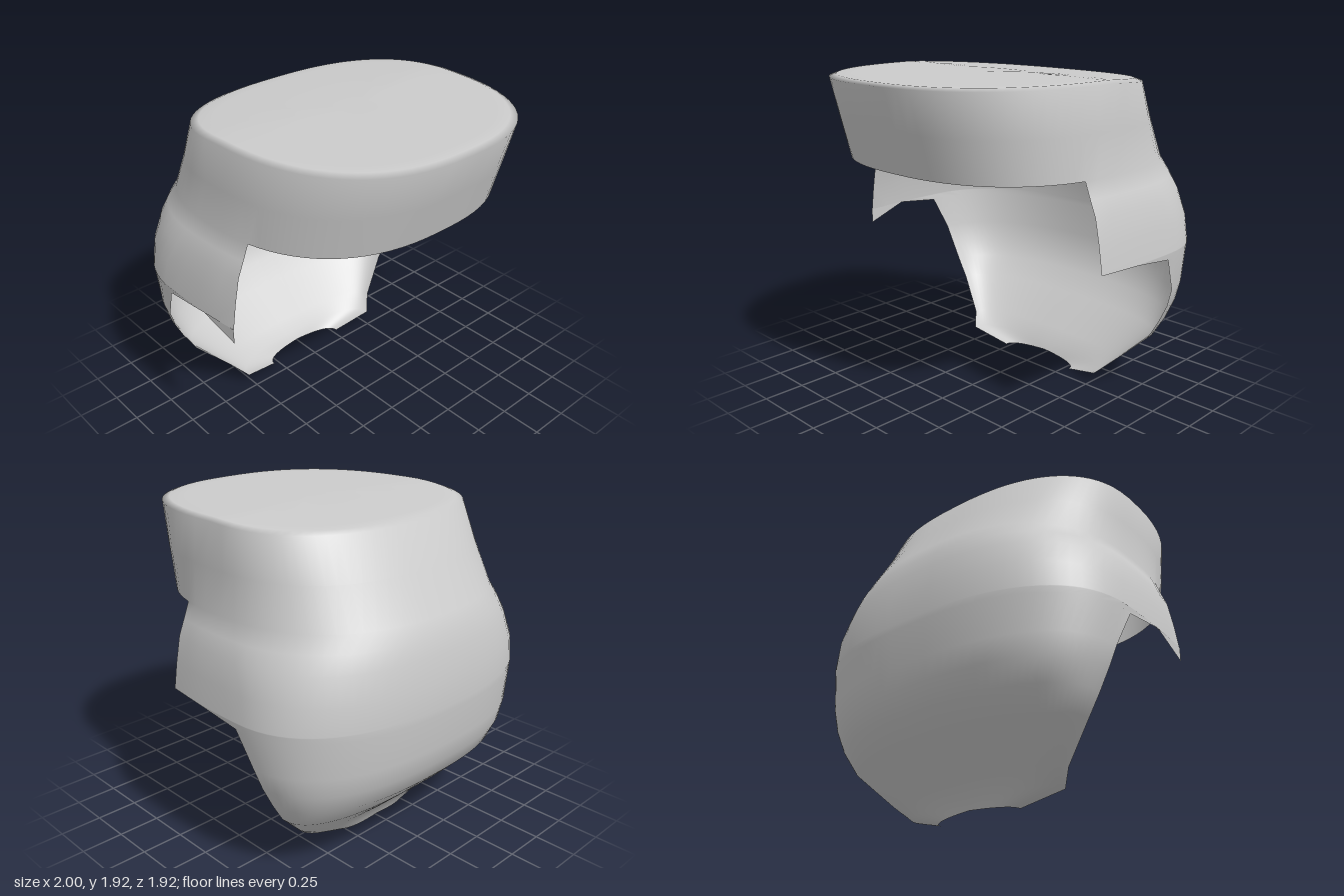
import * as THREE from 'three';
import { mergeVertices, mergeGeometries } from 'three/addons/utils/BufferGeometryUtils.js';

// Cross-sections from top to bottom:
// [y, half width, back z, front z, z of widest point, z of the open edge]
const SECTIONS = [
  [1.91, 0.84, -0.62, 0.96, 0, 0.24],
  [1.67, 0.855, -0.74, 0.885, -0.03, 0.24],
  [1.43, 0.87, -0.87, 0.81, -0.08, 0.24],
  [1.34, 0.91, -0.91, 0.87, -0.14, 0.24],
  [1.25, 0.95, -0.93, 0.95, -0.2, 0.24],
  [1.1, 0.98, -0.96, 1.1, -0.28, 0.24],
  [0.95, 1.0, -0.96, 1.2, -0.3, 0.24],
  [0.945, 1.0, -0.96, 1.2, -0.3, -0.04],
  [0.91, 0.995, -0.96, 1.2, -0.3, -0.33],
  [0.7, 0.97, -0.94, 1.2, -0.33, -0.43],
  [0.58, 0.93, -0.91, 1.2, -0.38, -0.45],
  [0.46, 0.87, -0.85, 1.2, -0.43, -0.455],
  [0.34, 0.8, -0.73, 1.2, -0.455, -0.455],
  [0.15, 0.61, -0.525, 1.2, -0.37, -0.37],
  [0.07, 0.53, -0.46, 1.2, -0.29, -0.29],
  [0.01, 0.28, -0.43, 1.2, -0.345, -0.345],
];
const CROWN_ROWS = 3; // sections that run all the way round
const N = 2.5; // squareness of each rounded section
const CAP = [0, 0.3, 0.6, 0.85, 0.95]; // shrinking rings of the flat top

const bend = (v, p) => Math.sign(v) * Math.abs(v) ** p;

// Angle at which a section reaches its open edge (0 = front, PI = back)
function edgeAngle([, , zb, zf, zc, ze]) {
  const depth = ze > zc ? zf - zc : zc - zb;
  return Math.acos(THREE.MathUtils.clamp(bend((ze - zc) / depth, N / 2), -1, 1));
}

function sectionPoint([y, w, zb, zf, zc], a) {
  const c = Math.cos(a);
  const x = w * bend(Math.sin(a), 2 / N);
  const z = zc + (c > 0 ? zf - zc : zc - zb) * bend(c, 2 / N);
  let h = y;
  if (y > 1.43) h += Math.min(0, z) * 0.06 * (y - 1.43) / 0.48; // rim dips at the back
  if (y < 0.02) h = 0.02 - 0.02 * Math.abs(x) / 0.28; // nape arches slightly
  return new THREE.Vector3(x, h, z);
}

// Ring of the flat top: the rim drawn in towards the middle and slightly raised
function capPoint(k, a) {
  const p = sectionPoint(SECTIONS[0], a);
  const z = 0.15 + (p.z - 0.15) * k;
  return new THREE.Vector3(p.x * k, 1.925 + Math.min(0, z) * 0.06, z);
}

function gridGeometry(rows) {
  const cols = rows[0].length;
  const index = [];
  for (let i = 0; i < rows.length - 1; i++) {
    for (let j = 0; j < cols - 1; j++) {
      const a = i * cols + j, c = a + cols;
      index.push(a, c, a + 1, a + 1, c, c + 1);
    }
  }
  const geo = new THREE.BufferGeometry().setFromPoints(rows.flat());
  geo.setIndex(index);
  return geo;
}

// One arc of the shell, front or back, including its share of the flat top
function arcGeometry(sections, segments, isBack) {
  const angles = (s) => {
    const e = edgeAngle(s);
    return Array.from({ length: segments + 1 }, (_, j) => {
      const u = (j / segments) * 2 - 1;
      return isBack ? Math.PI + u * (Math.PI - e) : u * e;
    });
  };
  const top = angles(sections[0]);
  const rows = CAP.map((k) => top.map((a) => capPoint(k, a)));
  for (const s of sections) rows.push(angles(s).map((a) => sectionPoint(s, a)));
  return gridGeometry(rows);
}

export function createModel() {
  const group = new THREE.Group();
  group.name = 'hair';
  const material = new THREE.MeshStandardMaterial({ color: 0xcccccc, side: THREE.DoubleSide });
  const add = (name, geo) => {
    geo.computeVertexNormals();
    const mesh = new THREE.Mesh(geo, material);
    mesh.name = name;
    group.add(mesh);
  };

  // Flat-topped shell: long at the back, short over the forehead
  const back = arcGeometry(SECTIONS, 40, true);
  const front = arcGeometry(SECTIONS.slice(0, CROWN_ROWS), 32, false);
  add('hairShell', mergeVertices(mergeGeometries([back, front]), 1e-4));

  // Pointed lock below the right sideburn
  const tip = new THREE.BufferGeometry().setFromPoints([
    new THREE.Vector3(-0.99, 0.95, -0.04),
    new THREE.Vector3(-0.97, 0.86, 0.24),
    new THREE.Vector3(-0.97, 0.95, 0.24),
  ]);
  add('rightSideburnTip', tip);
  return group;
}
